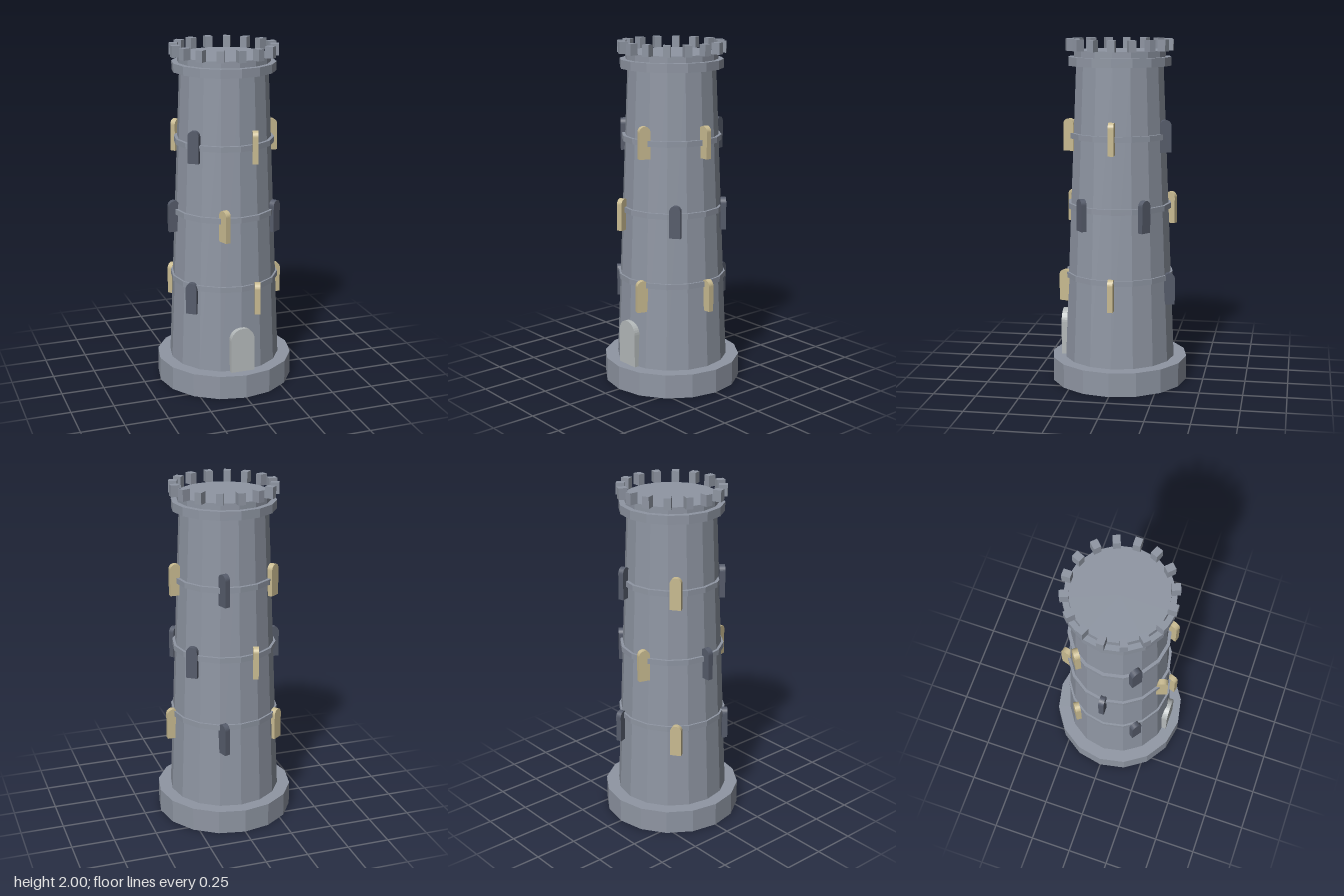
import * as THREE from 'three';

const SIDES = 16;

function mat(name, color) {
  const m = new THREE.MeshStandardMaterial({ color, flatShading: true });
  m.name = name;
  return m;
}

// Upright arched slab, bottom at y = 0, centred on its depth
function archGeometry(width, height, depth) {
  const r = width / 2;
  const s = new THREE.Shape();
  s.moveTo(-r, 0);
  s.lineTo(r, 0);
  s.lineTo(r, height - r);
  s.absarc(0, height - r, r, 0, Math.PI, false);
  s.lineTo(-r, 0);
  const g = new THREE.ExtrudeGeometry(s, { depth, bevelEnabled: false, curveSegments: 8 });
  g.translate(0, 0, -depth / 2);
  return g;
}

export function createModel() {
  const stone = mat('stone', 0x8f96a3);
  const lit = mat('lit window', 0xc9bb91);
  const dark = mat('dark window', 0x565c6b);
  const doorGrey = mat('door grey', 0xb5babb);

  const tower = new THREE.Group();
  tower.name = 'tower';

  const add = (name, geometry, material) => {
    const m = new THREE.Mesh(geometry, material);
    m.name = name;
    tower.add(m);
    return m;
  };
  const drum = (name, rTop, rBottom, y0, y1) => {
    const g = new THREE.CylinderGeometry(rTop, rBottom, y1 - y0, SIDES);
    add(name, g, stone).position.y = (y0 + y1) / 2;
  };

  // Stacked masonry
  drum('base', 0.4, 0.4, 0, 0.14);
  drum('shaft', 0.253, 0.325, 0.14, 1.87);
  drum('collar', 0.297, 0.297, 1.85, 1.9);
  drum('roofDeck', 0.265, 0.265, 1.9, 1.937);

  // Battlements
  const merlon = new THREE.BoxGeometry(0.041, 0.065, 0.049);
  for (let i = 0; i < SIDES; i++) {
    const a = (i / SIDES) * Math.PI * 2;
    const m = add('merlon', merlon, stone);
    m.position.set(Math.sin(a) * 0.285, 1.9675, Math.cos(a) * 0.285);
    m.rotation.y = a;
  }

  // Three storeys: a band and five arched windows, the middle row staggered
  const windowGeo = archGeometry(0.065, 0.185, 0.032);
  const storeys = [
    { y: 0.48, r: 0.32, band: 0.315, start: 0, colors: [lit, lit, dark, lit, dark] },
    { y: 0.925, r: 0.305, band: 0.302, start: 36, colors: [dark, lit, dark, lit, dark] },
    { y: 1.365, r: 0.29, band: 0.288, start: 0, colors: [lit, lit, dark, lit, dark] },
  ];
  storeys.forEach(({ y, r, band, start, colors }, n) => {
    const bandY = [0.638, 1.045, 1.453][n];
    drum('band', band, band, bandY - 0.016, bandY + 0.016);
    colors.forEach((color, i) => {
      const a = THREE.MathUtils.degToRad(start + i * 72);
      const w = add('window', windowGeo, color);
      w.position.set(Math.cos(a) * r, y, Math.sin(a) * r);
      w.rotation.y = a;
    });
  });

  // Door
  add('door', archGeometry(0.142, 0.265, 0.04), doorGrey).position.set(0, 0.14, 0.318);

  return tower;
}
